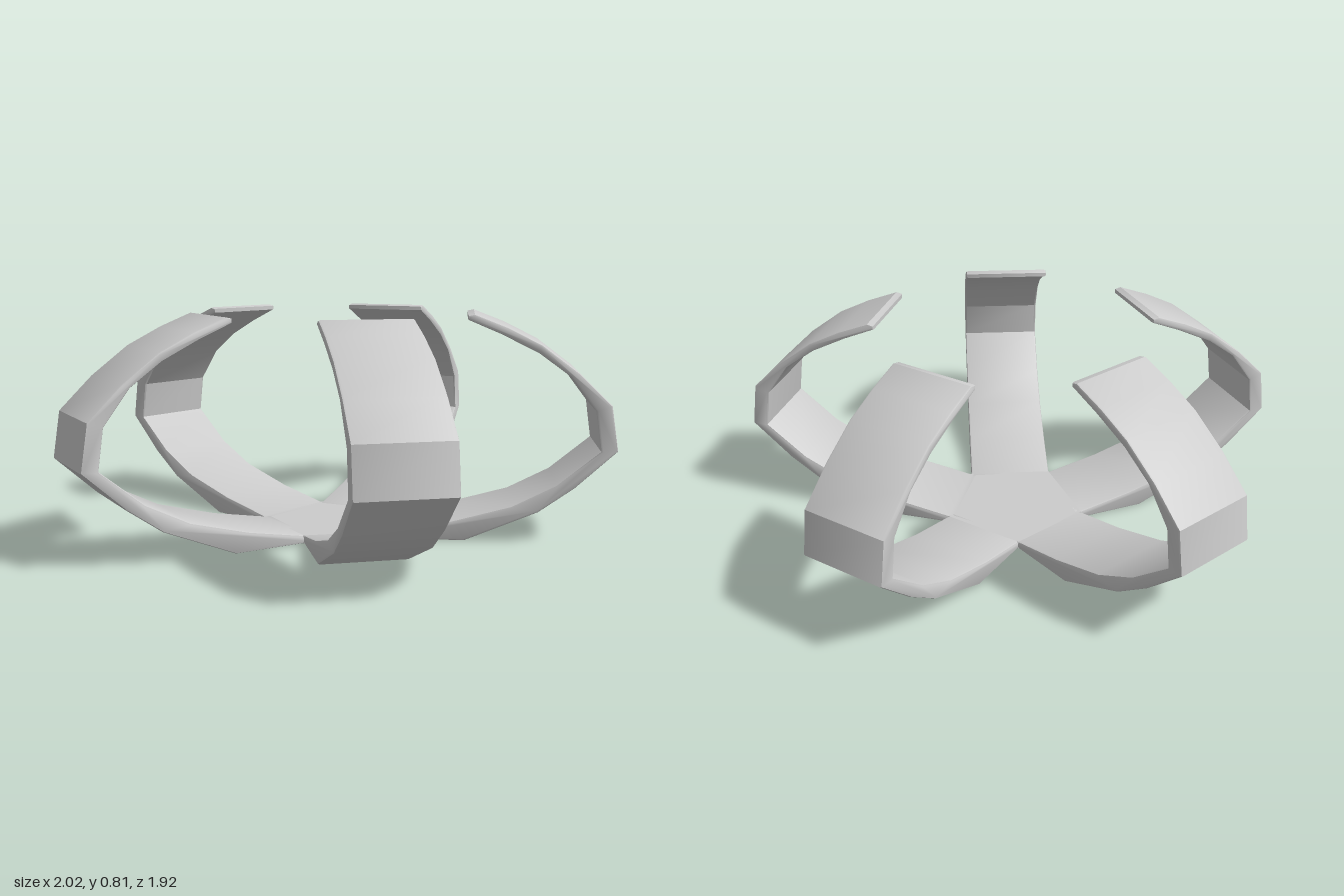
import * as THREE from 'three';
import { toCreasedNormals } from 'three/addons/utils/BufferGeometryUtils.js';

const ARMS = 5;
const WIDTH = 0.32;
const CENTRE_Z = 0.05;
const HUB_RADIUS = WIDTH / 2 / Math.sin(Math.PI / ARMS);
const FLOOR = 0.03;
const BEVEL = 0.008;

// Side profile of one curled arm: distance from the hub axis, height
const outer = [
  [0.2, 0], [0.48, 0], [0.74, 0.11], [0.865, 0.2], [1.01, 0.335],
  [0.985, 0.495], [0.87, 0.607], [0.74, 0.705], [0.62, 0.765], [0.505, 0.81],
];
const inner = [
  [0.482, 0.805], [0.482, 0.79], [0.6, 0.74], [0.73, 0.675], [0.84, 0.595], [0.93, 0.475],
  [0.95, 0.335], [0.8, 0.21], [0.645, 0.13], [0.43, 0.07], [0.22, FLOOR], [0.2, FLOOR],
];

function armGeometry() {
  const shape = new THREE.Shape([...outer, ...inner].map(([r, y]) => new THREE.Vector2(r, y)));
  const depth = WIDTH - 2 * BEVEL;
  const geometry = new THREE.ExtrudeGeometry(shape, {
    depth, bevelEnabled: true, bevelThickness: BEVEL, bevelSize: BEVEL, bevelOffset: -BEVEL, bevelSegments: 2,
  });
  geometry.translate(0, 0, -depth / 2);
  return toCreasedNormals(geometry, 0.5);
}

export function createModel() {
  const model = new THREE.Group();
  model.name = 'fiveArmHolder';
  const material = new THREE.MeshStandardMaterial({ color: 0xcccccc });

  // Flat pentagon joining the arms, one corner at each notch
  const hubGeometry = new THREE.CylinderGeometry(HUB_RADIUS, HUB_RADIUS, FLOOR, ARMS);
  hubGeometry.translate(0, FLOOR / 2, 0);
  const hub = new THREE.Mesh(toCreasedNormals(hubGeometry, 0.5), material);
  hub.name = 'hub';
  hub.position.z = CENTRE_Z;
  model.add(hub);

  // Curled arms, the first one pointing straight back
  const geometry = armGeometry();
  for (let i = 0; i < ARMS; i++) {
    const arm = new THREE.Mesh(geometry, material);
    arm.name = `arm${i + 1}`;
    arm.position.z = CENTRE_Z;
    arm.rotation.y = Math.PI / 2 + (i * 2 * Math.PI) / ARMS;
    model.add(arm);
  }
  return model;
}
